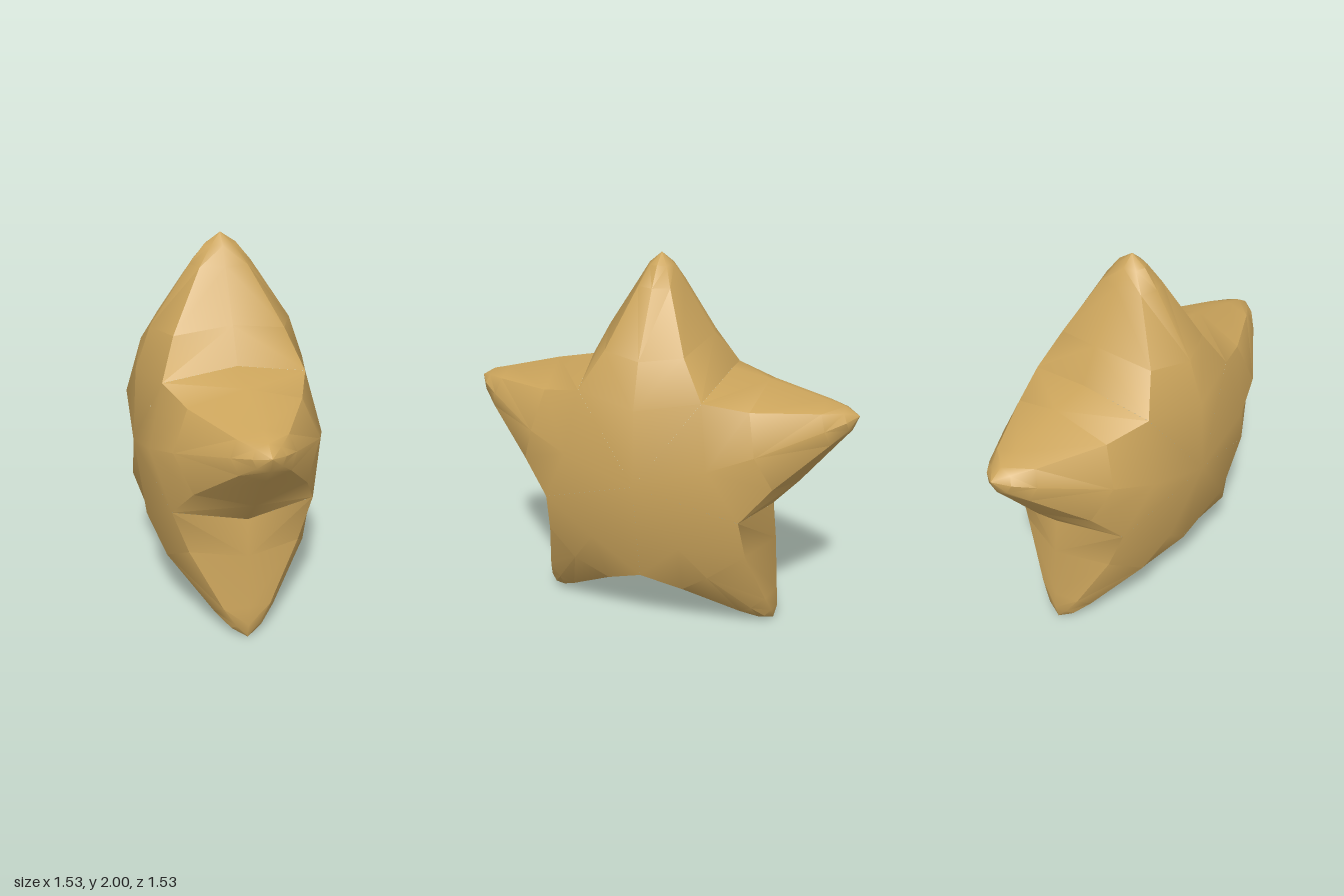
import * as THREE from 'three';
import { toCreasedNormals } from 'three/addons/utils/BufferGeometryUtils.js';

// One quarter of an arm, from the star's middle to the tip.
// Each point is [distance along the arm, distance across it, half thickness].
const CENTRE = [0, 0, 0.474];
const TIP = [1.105, 0, 0];
const RIDGE = [[0.4, 0, 0.45], [0.63, 0, 0.37], [0.95, 0, 0.16], [1.05, 0, 0.08]];
const RIM = [[0.449, 0.326, 0.368], [0.646, 0.21, 0.287], [0.95, 0.085, 0.125], [1.045, 0.045, 0.06]];
const SIDE = [[0.53, 0.385, 0], [0.708, 0.285, 0], [0.963, 0.12, 0], [1.05, 0.065, 0]];

function starGeometry() {
  // triangles of the quarter arm
  const tris = [[CENTRE, RIDGE[0], RIM[0]]];
  const strip = (a, b) => {
    for (let i = 0; i < 3; i++) {
      tris.push([a[i], a[i + 1], b[i + 1]], [a[i], b[i + 1], b[i]]);
    }
    tris.push([a[3], TIP, b[3]]);
  };
  strip(RIDGE, RIM);
  strip(RIM, SIDE);

  // mirror across and through each arm, then repeat five times
  const positions = [];
  for (let arm = 0; arm < 5; arm++) {
    const angle = Math.PI / 2 + arm * Math.PI * 2 / 5;
    const c = Math.cos(angle), s = Math.sin(angle);
    for (const across of [1, -1]) {
      for (const face of [1, -1]) {
        for (const tri of tris) {
          const corners = across * face > 0 ? tri : [tri[0], tri[2], tri[1]];
          for (const [a, b, w] of corners) {
            positions.push(a * c - b * across * s, a * s + b * across * c, w * face);
          }
        }
      }
    }
  }
  const geometry = new THREE.BufferGeometry();
  geometry.setAttribute('position', new THREE.Float32BufferAttribute(positions, 3));
  return toCreasedNormals(geometry, 0.7);
}

export function createModel() {
  const group = new THREE.Group();
  const star = new THREE.Mesh(starGeometry(), new THREE.MeshStandardMaterial({ color: 0xcca55c }));
  star.name = 'star';
  // the star stands on its two lower tips, turned an eighth of a turn
  star.rotation.y = -Math.PI / 4;
  star.position.y = 0.894;
  group.add(star);
  return group;
}
